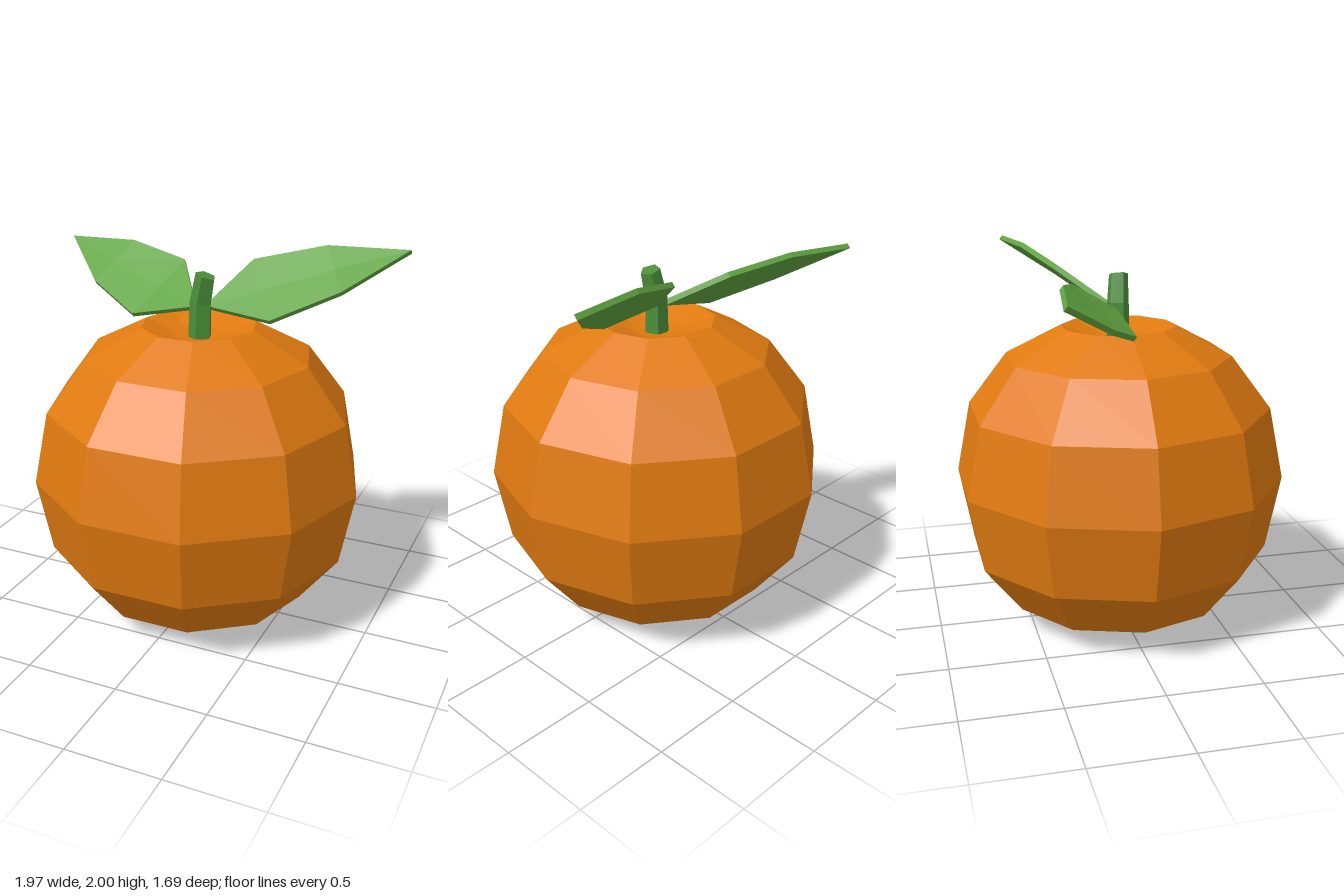
import * as THREE from 'three';

const material = (name, color, side = THREE.FrontSide) =>
  new THREE.MeshStandardMaterial({ name, color, side, flatShading: true });

// Closed thin leaf: base, three-point cross-sections (back edge, midrib, front edge), tip
function leafGeometry(base, sections, tip) {
  const drop = [0, -0.022, -0.018];
  const top = [base];
  for (const [back, front] of sections) {
    const rib = back.map((v, i) => (v + front[i]) / 2);
    rib[1] -= 0.008;
    top.push(back, rib, front);
  }
  top.push(tip);
  const n = top.length;
  const under = top.map((p) => p.map((v, i) => v + drop[i]));
  const faces = [[0, 2, 1], [0, 3, 2]];
  for (const k of [1, 2]) faces.push([k, k + 1, k + 4], [k, k + 4, k + 3]);
  faces.push([4, 5, 7], [5, 6, 7]);
  const rim = [0, 3, 6, 7, 4, 1];
  const index = [];
  for (const [a, b, c] of faces) index.push(a, b, c, n + a, n + c, n + b);
  rim.forEach((a, i) => {
    const b = rim[(i + 1) % rim.length];
    index.push(a, n + a, b, b, n + a, n + b);
  });
  const g = new THREE.BufferGeometry();
  g.setAttribute('position', new THREE.Float32BufferAttribute([...top, ...under].flat(), 3));
  g.setIndex(index);
  g.computeVertexNormals();
  return g;
}

// Five-sided stem from stacked rings: [x, y, z, radius, tilt]
function stemGeometry(rings, sides = 5) {
  const g = new THREE.CylinderGeometry(1, 1, 1, sides, rings.length - 1);
  const p = g.attributes.position;
  for (let i = 0; i < p.count; i++) {
    const k = Math.round((p.getY(i) + 0.5) * (rings.length - 1));
    const [x, y, z, r, tilt] = rings[k];
    const dx = p.getX(i) * r;
    p.setXYZ(i, x + dx, y - dx * tilt, z + p.getZ(i) * r);
  }
  g.computeVertexNormals();
  return g;
}

export function createModel() {
  const model = new THREE.Group();
  model.name = 'fruit';
  const peel = material('orange peel', 0xe07a10);
  const stemGreen = material('stem green', 0x4b8f3a);
  const leafGreen = material('leaf green', 0x60a440, THREE.DoubleSide);

  const add = (name, geometry, mat) => {
    const mesh = new THREE.Mesh(geometry, mat);
    mesh.name = name;
    model.add(mesh);
    return mesh;
  };

  // Ten-sided body with a dimple at both ends
  const profile = [
    [0, 0.04], [0.12, 0.03], [0.255, 0], [0.602, 0.13], [0.813, 0.4], [0.89, 0.8],
    [0.813, 1.185], [0.602, 1.465], [0.305, 1.62], [0.14, 1.565], [0, 1.545],
  ].map(([r, y]) => new THREE.Vector2(r, y));
  const body = add('body', new THREE.LatheGeometry(profile, 10, Math.PI / 2), peel);
  body.position.x = 0.014;

  // Bent stem
  add('stem', stemGeometry([
    [0.02, 1.54, 0, 0.064, 0],
    [0.025, 1.74, 0, 0.06, 0.1],
    [0.055, 1.885, 0.01, 0.052, 0.3],
  ]), stemGreen);

  // Leaves rising backwards on both sides
  add('leftLeaf', leafGeometry([0.04, 1.72, -0.01], [
    [[0.2, 1.92, -0.285], [0.4, 1.685, 0.005]],
    [[0.56, 2.0, -0.41], [0.71, 1.82, -0.19]],
  ], [0.985, 2.0, -0.475]), leafGreen);
  add('rightLeaf', leafGeometry([-0.01, 1.71, -0.01], [
    [[-0.2, 1.88, -0.285], [-0.375, 1.633, 0.005]],
    [[-0.56, 1.93, -0.395], [-0.7, 1.735, -0.18]],
  ], [-0.985, 1.905, -0.455]), leafGreen);

  return model;
}
